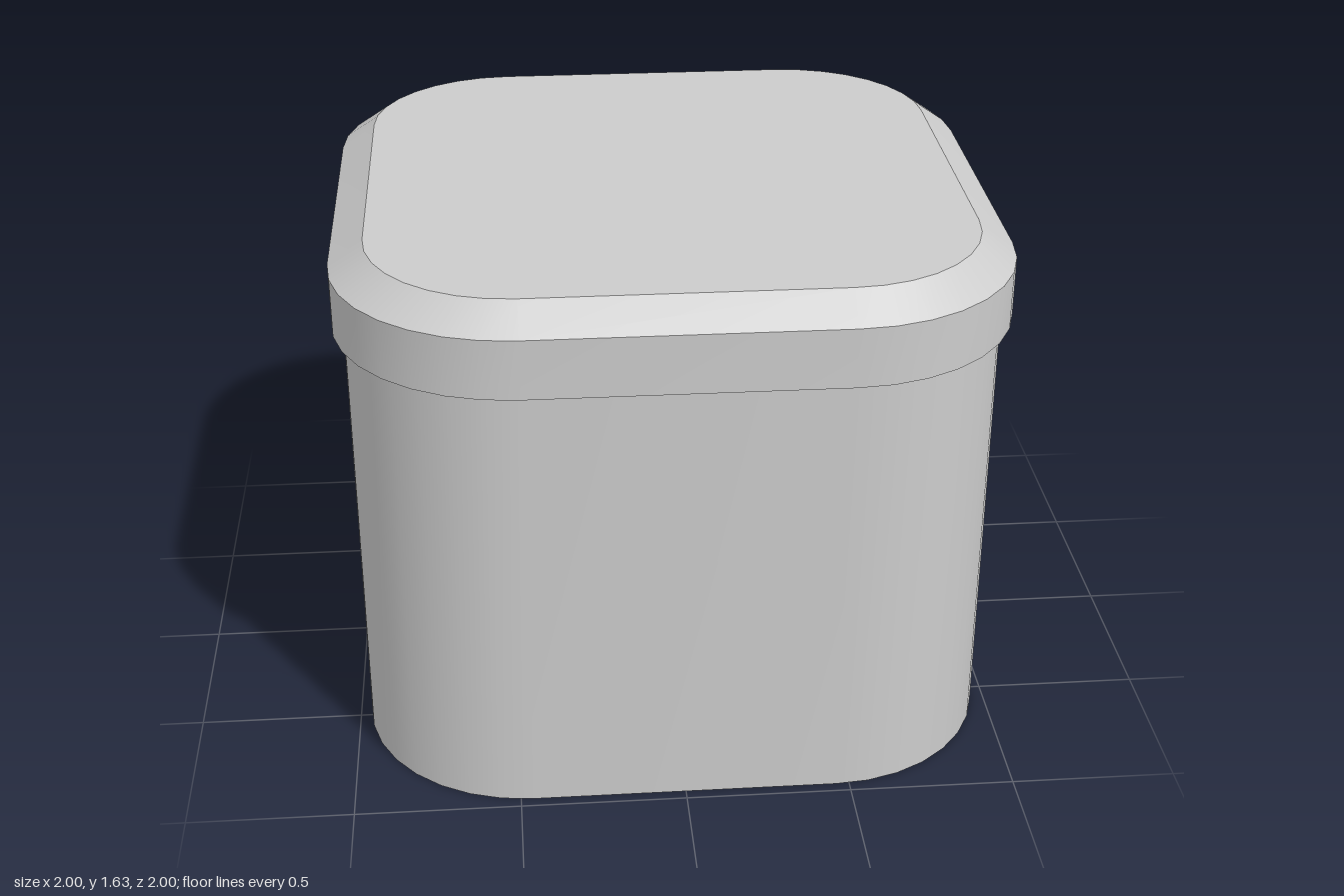
import * as THREE from 'three';
import { toCreasedNormals } from 'three/addons/utils/BufferGeometryUtils.js';

const STRAIGHT = 0.46; // half length of the straight run on each side
const STEPS = 8; // facets per rounded corner

// Rounded-square outline, counter-clockwise when seen from +y
function outline(half) {
  const radius = half - STRAIGHT;
  const points = [];
  for (let corner = 0; corner < 4; corner++) {
    const middle = (corner + 0.5) * Math.PI / 2;
    const cx = Math.sign(Math.cos(middle)) * STRAIGHT;
    const cz = -Math.sign(Math.sin(middle)) * STRAIGHT;
    for (let i = 0; i <= STEPS; i++) {
      const a = (corner + i / STEPS) * Math.PI / 2;
      points.push([cx + radius * Math.cos(a), cz - radius * Math.sin(a)]);
    }
  }
  return points;
}

// Closed solid through rounded-square sections given as [half width, height]
function loft(sections) {
  const positions = [];
  const indices = [];
  const n = 4 * (STEPS + 1);
  for (const [half, y] of sections) {
    for (const [x, z] of outline(half)) positions.push(x, y, z);
  }
  const last = sections.length - 1;
  positions.push(0, sections[0][1], 0, 0, sections[last][1], 0);
  const bottom = n * sections.length;
  for (let j = 0; j < n; j++) {
    const k = (j + 1) % n;
    for (let s = 0; s < last; s++) {
      const a = s * n + j, b = s * n + k;
      indices.push(a, b, b + n, a, b + n, a + n);
    }
    indices.push(bottom, k, j, bottom + 1, last * n + j, last * n + k);
  }
  const geometry = new THREE.BufferGeometry();
  geometry.setAttribute('position', new THREE.Float32BufferAttribute(positions, 3));
  geometry.setIndex(indices);
  return toCreasedNormals(geometry, Math.PI / 7);
}

export function createModel() {
  const model = new THREE.Group();
  model.name = 'liddedBox';
  const material = new THREE.MeshStandardMaterial({ color: 0xcccccc });

  const parts = {
    // Straight-sided container
    body: [[0.967, 0], [0.967, 1.38]],
    // Overhanging lid with a bevelled top edge
    lid: [[1, 1.38], [1, 1.56], [0.895, 1.635]],
  };
  for (const [name, sections] of Object.entries(parts)) {
    const mesh = new THREE.Mesh(loft(sections), material);
    mesh.name = name;
    model.add(mesh);
  }
  return model;
}
